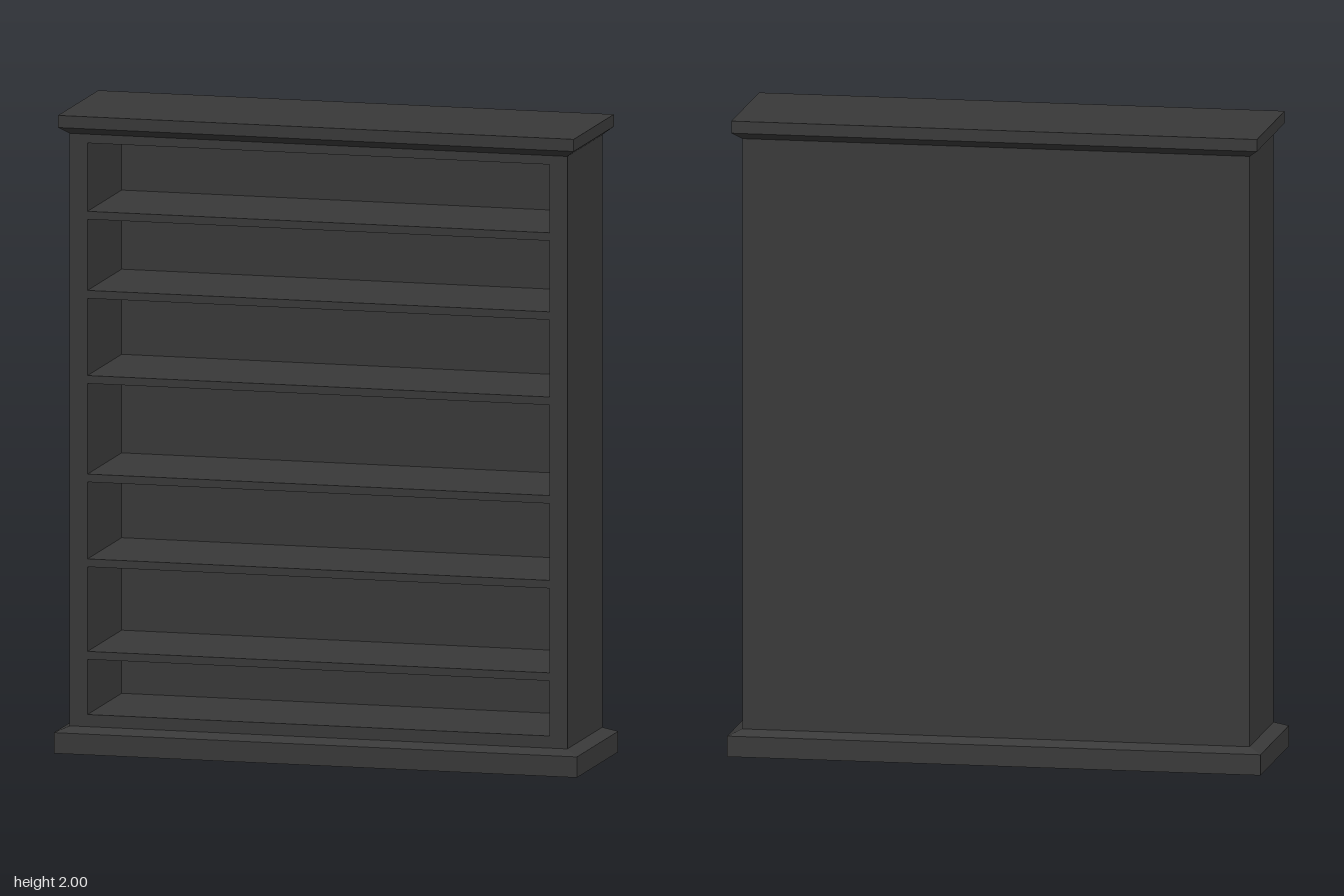
import * as THREE from 'three';

const material = new THREE.MeshStandardMaterial({ color: 0x383838 });

// Box between heights y0 and y1, with half width and half depth at the bottom and top
function block(name, y0, y1, [wx0, wz0], [wx1, wz1] = [wx0, wz0]) {
  const geometry = new THREE.BoxGeometry(2, y1 - y0, 2);
  const p = geometry.attributes.position;
  for (let i = 0; i < p.count; i++) {
    const top = p.getY(i) > 0;
    p.setX(i, p.getX(i) * (top ? wx1 : wx0));
    p.setZ(i, p.getZ(i) * (top ? wz1 : wz0));
  }
  geometry.computeVertexNormals();
  const mesh = new THREE.Mesh(geometry, material);
  mesh.name = name;
  mesh.position.y = (y0 + y1) / 2;
  return mesh;
}

export function createModel() {
  const model = new THREE.Group();
  model.name = 'bookcase';

  const body = [0.797, 0.205];
  const base = [0.838, 0.242];
  const cap = [0.826, 0.236];
  const inner = 0.74;
  const floorY = 0.12, ceilingY = 1.912;
  const bodyBottom = 0.082, bodyTop = 1.94;

  // Plinth with a sloped upper edge
  model.add(block('plinth', 0, 0.065, base));
  model.add(block('plinthBevel', 0.065, bodyBottom, base, body));

  // Carcass
  model.add(block('bottomBoard', bodyBottom, floorY, [inner, body[1]]));
  model.add(block('topBoard', ceilingY, bodyTop, [inner, body[1]]));
  for (const [name, side] of [['leftSide', 1], ['rightSide', -1]]) {
    const panel = block(name, bodyBottom, bodyTop, [(body[0] - inner) / 2, body[1]]);
    panel.position.x = side * (body[0] + inner) / 2;
    model.add(panel);
  }
  const backThickness = 0.01;
  const back = block('backPanel', floorY, ceilingY, [inner, backThickness / 2]);
  back.position.z = -body[1] + backThickness / 2;
  model.add(back);

  // Shelves, flush with the front edge
  const shelves = new THREE.Group();
  shelves.name = 'shelves';
  for (const y of [0.318, 0.608, 0.874, 1.183, 1.45, 1.698]) {
    const shelf = block('shelf', y - 0.025, y, [inner, body[1] - backThickness / 2]);
    shelf.position.z = backThickness / 2;
    shelves.add(shelf);
  }
  model.add(shelves);

  // Cornice flaring out to the top slab
  model.add(block('corniceBevel', bodyTop, 1.962, body, cap));
  model.add(block('corniceSlab', 1.962, 2, cap));

  return model;
}
